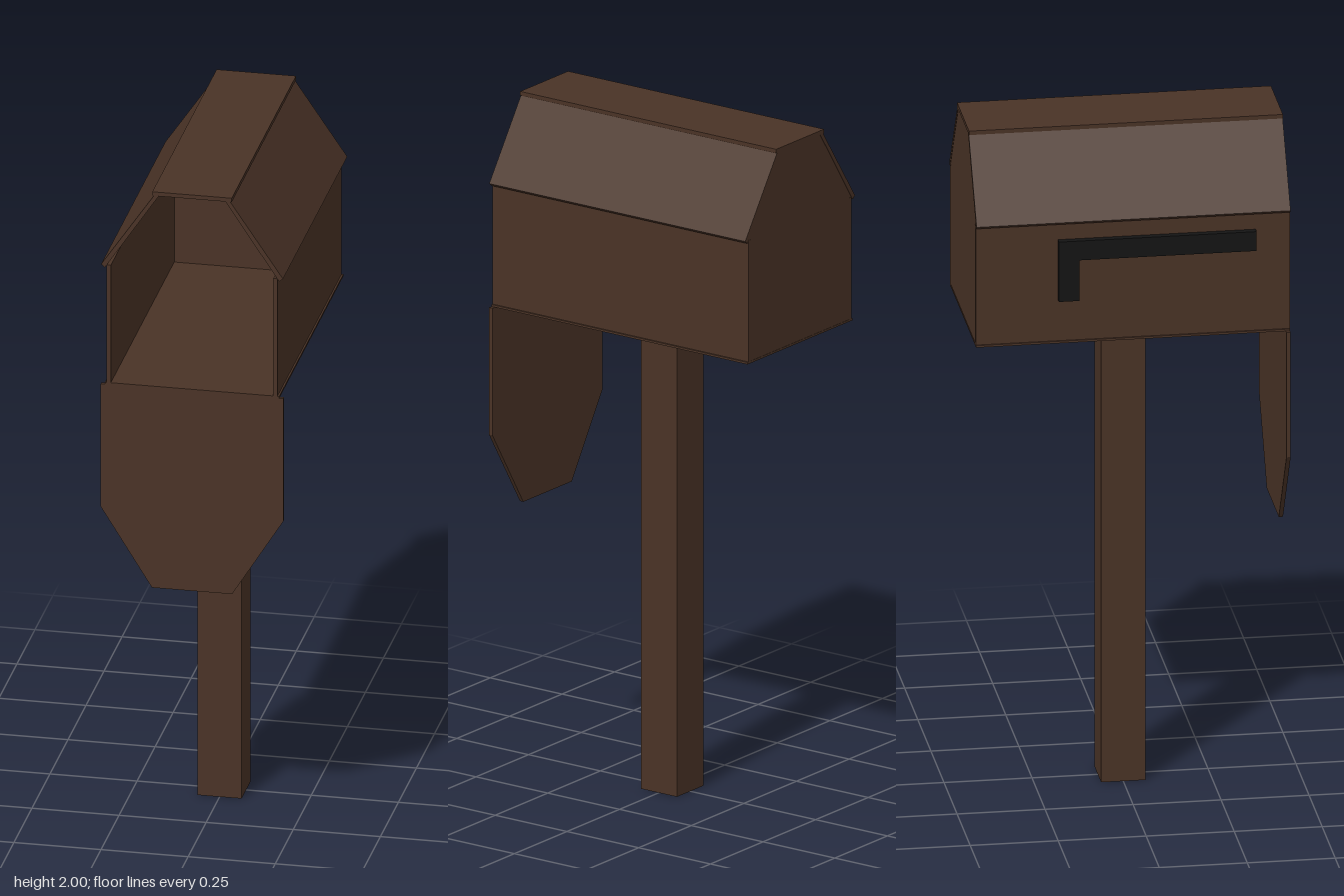
import * as THREE from 'three';

const wood = new THREE.MeshStandardMaterial({ color: 0x4a3326, flatShading: true });
const dark = new THREE.MeshStandardMaterial({ color: 0x141414, flatShading: true });
const HALF = 0.446; // half the depth of the box
const T = 0.012; // board thickness

export function createModel() {
  const model = new THREE.Group();
  model.name = 'mailbox';

  const add = (name, geometry, material = wood) => {
    const mesh = new THREE.Mesh(geometry, material);
    mesh.name = name;
    model.add(mesh);
    return mesh;
  };

  // Box given by its low and high corners
  const board = (name, [x0, y0, z0], [x1, y1, z1]) => {
    const g = new THREE.BoxGeometry(x1 - x0, y1 - y0, z1 - z0);
    g.translate((x0 + x1) / 2, (y0 + y1) / 2, (z0 + z1) / 2);
    return add(name, g);
  };

  // Outline in x and y, extruded from z0 to z1
  const slab = (name, points, z0, z1) => {
    const shape = new THREE.Shape(points.map(([x, y]) => new THREE.Vector2(x, y)));
    const g = new THREE.ExtrudeGeometry(shape, { depth: z1 - z0, bevelEnabled: false });
    return add(name, g.translate(0, 0, z0));
  };

  // Post and floor
  board('post', [-0.063, 0, -0.063], [0.063, 1.4, 0.063]);
  board('floor', [-0.25, 1.4, -HALF], [0.25, 1.4 + T / 2, HALF]);

  // Walls and sloping roof boards, mirrored
  for (const [side, s] of [['left', 1], ['right', -1]]) {
    const wall = [0.245 * s, (0.245 - T) * s].sort((a, b) => a - b);
    board(side + 'Wall', [wall[0], 1.4, -HALF], [wall[1], 1.765, HALF]);
    slab(side + 'RoofSlope', [
      [0.25 * s, 1.757], [0.261 * s, 1.766], [0.109 * s, 1.989], [0.095 * s, 1.989],
    ], -HALF, HALF);
  }
  board('roofTop', [-0.114, 1.988, -HALF], [0.114, 2, HALF]);

  // Closed back end
  slab('backPanel', [
    [-0.244, 1.401], [0.244, 1.401], [0.244, 1.767], [0.1, 1.989], [-0.1, 1.989], [-0.244, 1.767],
  ], -HALF + 0.001, -HALF + T);

  // Open door hanging below the front edge
  slab('door', [
    [-0.262, 1.4], [-0.262, 1.025], [-0.115, 0.79], [0.115, 0.79], [0.262, 1.025], [0.262, 1.4],
  ], HALF - T, HALF);

  // L-shaped signal flag on the right wall, outline in z and y
  const outline = [[-0.213, 1.53], [-0.155, 1.53], [-0.155, 1.652], [0.349, 1.652], [0.349, 1.71], [-0.213, 1.71]];
  const flagShape = new THREE.Shape(outline.map(([z, y]) => new THREE.Vector2(z, y)));
  const flag = new THREE.ExtrudeGeometry(flagShape, { depth: 0.022, bevelEnabled: false });
  flag.rotateY(-Math.PI / 2).translate(-0.243, 0, 0);
  add('flag', flag, dark);

  return model;
}
